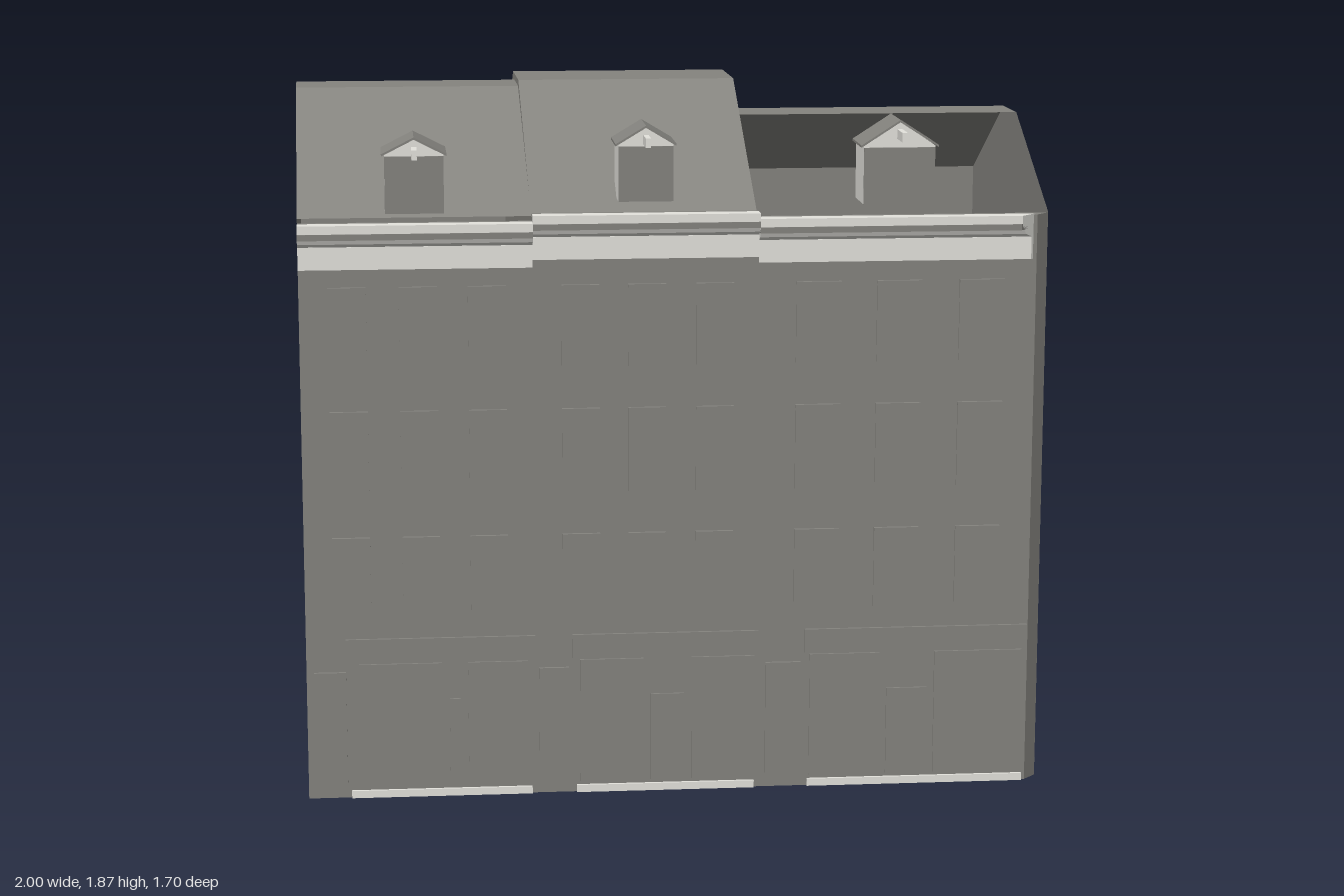
import * as THREE from 'three';

const stone = new THREE.MeshStandardMaterial({ color: 0x85847f, side: THREE.DoubleSide });
stone.name = 'grey stone';
const trim = new THREE.MeshStandardMaterial({ color: 0xe4e3dd, side: THREE.DoubleSide });
trim.name = 'light trim';

const FRONT = 0.805;

function add(parent, name, geometry, material) {
  const mesh = new THREE.Mesh(geometry, material);
  mesh.name = name;
  parent.add(mesh);
  return mesh;
}

// Box given by its limits; corners beyond the street-corner chamfer are pulled in
function box(parent, name, x0, x1, y0, y1, z0, z1, material = stone, chamfer = 9) {
  const g = new THREE.BoxGeometry(x1 - x0, y1 - y0, z1 - z0);
  g.translate((x0 + x1) / 2, (y0 + y1) / 2, (z0 + z1) / 2);
  return add(parent, name, clampCorner(g, chamfer), material);
}

function clampCorner(g, chamfer) {
  const p = g.attributes.position;
  for (let i = 0; i < p.count; i++) p.setX(i, Math.min(p.getX(i), chamfer - p.getZ(i)));
  g.computeVertexNormals();
  return g;
}

// Side walls lean slightly in plan: x runs from its back value to its front value
const lean = (back, front) => z => THREE.MathUtils.lerp(back, front, (z + 0.5) / 1.3);

// House shell from a convex [z, y] profile, front to back
function shell(parent, name, profile, xl, xr, { skip = [], left = true, right = true }) {
  const v = [];
  const L = p => [xl(p[0]), p[1], p[0]];
  const R = p => [xr(p[0]), p[1], p[0]];
  profile.forEach((a, i) => {
    if (skip.includes(i)) return;
    const b = profile[(i + 1) % profile.length];
    v.push(...L(a), ...R(a), ...R(b), ...L(a), ...R(b), ...L(b));
  });
  for (let i = 1; i < profile.length - 1; i++) {
    const [a, b, c] = [profile[0], profile[i], profile[i + 1]];
    if (left) v.push(...L(a), ...L(b), ...L(c));
    if (right) v.push(...R(a), ...R(c), ...R(b));
  }
  const g = new THREE.BufferGeometry();
  g.setAttribute('position', new THREE.Float32BufferAttribute(v, 3));
  g.computeVertexNormals();
  return add(parent, name, g, stone);
}

// Extrude a [z, y] outline along x
function alongX(parent, name, outline, x0, x1, material, chamfer = 9) {
  const shape = new THREE.Shape(outline.map(([z, y]) => new THREE.Vector2(-z, y)));
  const g = new THREE.ExtrudeGeometry(shape, { depth: x1 - x0, bevelEnabled: false });
  g.rotateY(Math.PI / 2);
  g.translate(x0, 0, 0);
  return add(parent, name, clampCorner(g, chamfer), material);
}

// Eaves cornice: fascia, moulding and a grey groove
function cornice(parent, x0, x1, y, chamfer) {
  const c = new THREE.Group();
  c.name = 'cornice';
  parent.add(c);
  box(c, 'fascia', x0, x1, y - 0.12, y - 0.06, 0.79, 0.811, trim, chamfer);
  alongX(c, 'moulding', [[0.8, y], [0.842, y], [0.842, y - 0.025], [0.83, y - 0.05], [0.8, y - 0.065]], x0, x1, trim, chamfer);
  box(c, 'groove', x0, x1, y - 0.038, y - 0.022, 0.8, 0.845, stone, chamfer);
}

// Dormer with light cheeks and gable, grey front and roof, and a hoisting beam
function dormer(parent, x, w, y0, eave, apex) {
  const d = new THREE.Group();
  d.name = 'dormer';
  parent.add(d);
  const h = w / 2 - 0.008;
  const outline = new THREE.Shape();
  outline.moveTo(-h, y0);
  outline.lineTo(h, y0);
  outline.lineTo(h, eave);
  outline.lineTo(0, apex - 0.006);
  outline.lineTo(-h, eave);
  const g = new THREE.ExtrudeGeometry(outline, { depth: 0.14, bevelEnabled: false });
  g.translate(x, 0, 0.63);
  add(d, 'dormerBody', g, trim);
  box(d, 'dormerFront', x - h, x + h, y0, eave - 0.005, 0.768, 0.773);
  const roof = new THREE.Shape();
  roof.moveTo(-w / 2, eave - 0.004);
  roof.lineTo(0, apex - 0.006);
  roof.lineTo(w / 2, eave - 0.004);
  roof.lineTo(w / 2, eave + 0.002);
  roof.lineTo(0, apex);
  roof.lineTo(-w / 2, eave + 0.002);
  const r = new THREE.ExtrudeGeometry(roof, { depth: 0.158, bevelEnabled: false });
  r.translate(x, 0, 0.62);
  add(d, 'dormerRoof', r, stone);
  box(d, 'hoistBeam', x - 0.007, x + 0.007, apex - 0.05, apex - 0.025, 0.76, 0.852, trim);
}

// Window: raised pane with a slim lintel
function windowAt(parent, x, w, y0, y1) {
  box(parent, 'windowPane', x - w / 2, x + w / 2, y0, y1, FRONT - 0.01, FRONT + 0.006);
  box(parent, 'windowLintel', x - w / 2, x + w / 2, y1, y1 + 0.008, FRONT - 0.01, FRONT + 0.01);
}

const houses = [
  { name: 'rightHouse', x: [-0.98, -0.37], top: 1.555, win: [-0.855, -0.67, -0.49], w: 0.1,
    dormer: [-0.675, 0.17, 1.575, 1.73, 1.775], sign: [-0.875, -0.37],
    shop: [[-0.84, -0.62], [-0.6, -0.57], [-0.55, -0.39]], entry: [-0.96, -0.875] },
  { name: 'middleHouse', x: [-0.37, 0.225], top: 1.575, win: [-0.245, -0.07, 0.11], w: 0.1,
    dormer: [-0.07, 0.16, 1.6, 1.75, 1.8], sign: [-0.27, 0.23],
    shop: [[-0.25, -0.08], [-0.06, 0.03], [0.05, 0.22]], entry: [-0.36, -0.28] },
  { name: 'leftHouse', x: [0.225, 1], top: 1.56, win: [0.385, 0.6, 0.82], w: 0.12,
    dormer: [0.6, 0.205, 1.585, 1.74, 1.808], sign: [0.355, 0.965],
    shop: [[0.37, 0.56], [0.58, 0.69], [0.71, 0.95]], entry: [0.25, 0.345] },
];

export function createModel() {
  const model = new THREE.Group();
  model.name = 'townhouses';
  const groups = houses.map(h => {
    const g = new THREE.Group();
    g.name = h.name;
    model.add(g);
    return g;
  });

  // House shells; the two outer roofs each have one open slope
  const outerL = lean(-1, -0.98), partyL = lean(-0.388, -0.37);
  const partyR = lean(0.21, 0.225), outerR = lean(0.973, 1.001);
  shell(groups[0], 'shell', [[0.77, 0], [0.77, 1.565], [0.22, 1.85], [0.05, 1.85], [-0.47, 1.56], [-0.47, 0]],
    outerL, partyL, { skip: [0, 3], right: false });
  shell(groups[1], 'shell', [[0.77, 0], [0.77, 1.56], [0.24, 1.868], [-0.01, 1.868], [-0.52, 1.57], [-0.52, 0]],
    partyL, () => 0.11, { skip: [0] });
  shell(groups[1], 'shellStrip', [[0.77, 0], [0.77, 1.56], [0.24, 1.868], [-0.01, 1.868], [-0.47, 1.6], [-0.47, 0]],
    () => 0.11, partyR, { skip: [0], left: false });
  shell(groups[2], 'shell', [[0.77, 0], [0.77, 1.56], [0.365, 1.78], [0.2, 1.78], [-0.187, 1.56], [-0.187, 0]],
    partyR, outerR, { skip: [0, 1], left: false });

  // Rear annex
  box(groups[1], 'annex', -0.39, 0.105, 0, 0.288, -0.852, -0.5);

  houses.forEach((h, i) => {
    const g = groups[i], [x0, x1] = h.x;
    box(g, 'facade', x0, x1, 0, h.top - 0.002, 0.77, FRONT, stone, 1.77);
    cornice(g, x0, x1, h.top, 1.76);
    dormer(g, ...h.dormer);
    for (const [y0, y1] of [[0.5, 0.71], [0.83, 1.05], [1.17, 1.38]])
      for (const x of h.win) windowAt(g, x, h.w, y0, y1);

    // Shopfront: sign board, panes, lower door, house entry
    box(g, 'shopSign', h.sign[0], h.sign[1], 0.375, 0.44, 0.79, FRONT + 0.008, stone, 1.774);
    h.shop.forEach(([a, b], k) =>
      box(g, k === 1 ? 'shopDoor' : 'shopPane', a, b, 0.03, k === 1 ? 0.27 : 0.37, 0.79, FRONT + 0.006));
    box(g, 'entryDoor', h.entry[0], h.entry[1], 0.01, 0.3, 0.79, FRONT + 0.007);
    box(g, 'entryLintel', h.entry[0], h.entry[1], 0.3, 0.35, 0.79, FRONT + 0.009);

    // Light sills at the foot of the shopfront
    box(g, 'shopSill', h.sign[0] + 0.01, h.sign[1] - 0.01, 0, 0.02, 0.79, FRONT + 0.008, trim, 1.774);
  });
  return model;
}
